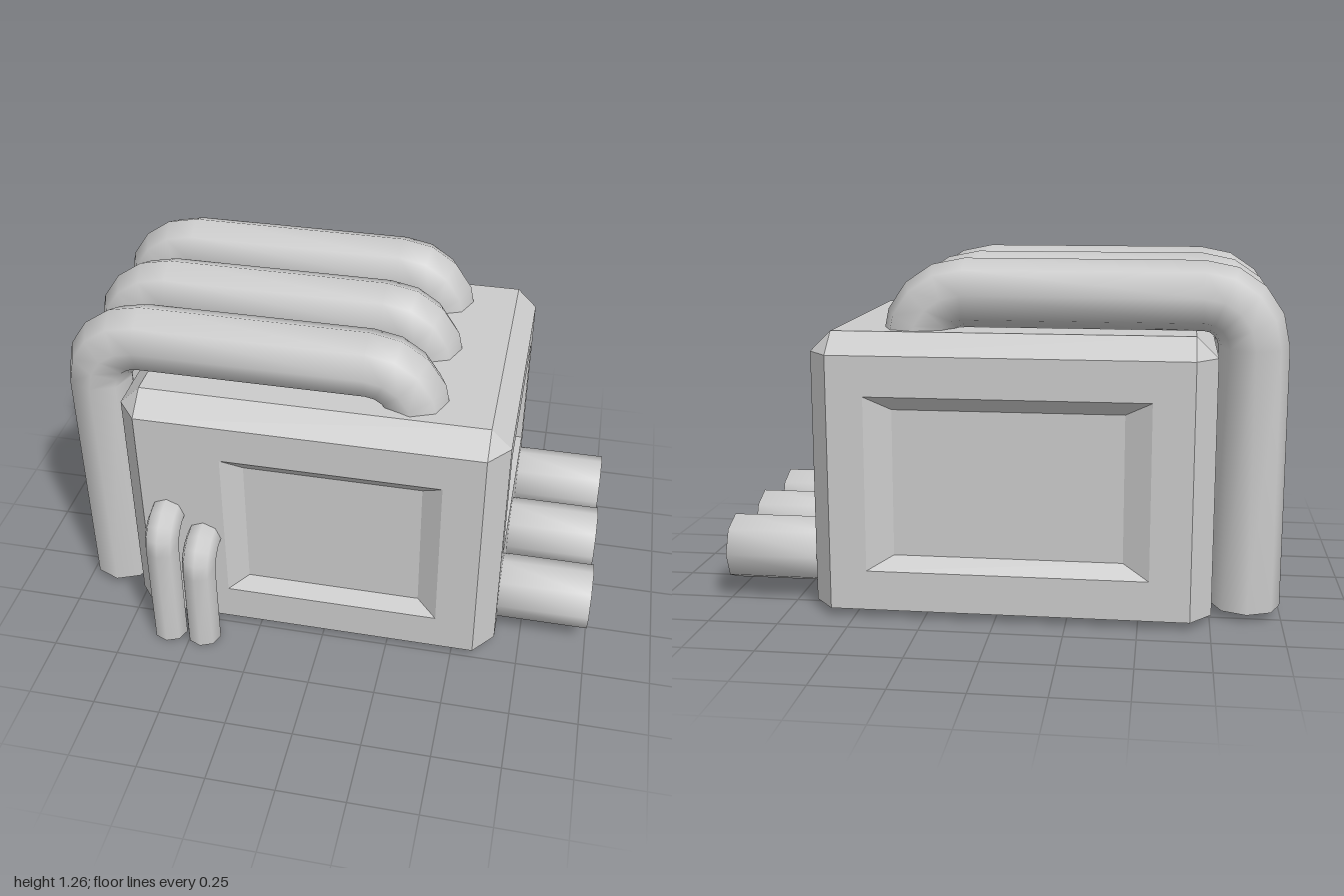
import * as THREE from 'three';
import { mergeVertices } from 'three/addons/utils/BufferGeometryUtils.js';

const material = new THREE.MeshStandardMaterial({ color: 0xcccccc });
const openMaterial = new THREE.MeshStandardMaterial({ color: 0xcccccc, side: THREE.DoubleSide });

// Chamfered box; each wall may carry a shallow recessed panel
function bodyGeometry() {
  const y0 = 0.03, y1 = 0.937, y2 = 1.01;
  const ring = [[-0.68, 0.496], [0.582, 0.496], [0.656, 0.405], [0.656, -0.56],
    [0.582, -0.65], [-0.68, -0.65], [-0.755, -0.56], [-0.755, 0.405]];
  const topCorners = [[-0.68, 0.405], [0.582, 0.405], [0.582, -0.56], [-0.68, -0.56]];
  const topOf = (i) => topCorners[((i + 1) >> 1) % 4];
  // Panels in wall order: opening along the wall, opening in height, bevel width, bevel height
  const panels = [
    { u: [0.31, 1.115], v: [0.172, 0.795], bu: 0.075, bv: 0.05 },
    { u: [0.096, 0.867], v: [0.355, 0.83], bu: 0.064, bv: 0.042 },
    { u: [0.13, 1.12], v: [0.172, 0.795], bu: 0.092, bv: 0.05 },
    null,
  ];
  const depth = 0.042;
  const positions = [];
  const tri = (a, b, c) => positions.push(...a, ...b, ...c);
  const quad = (a, b, c, d) => { tri(a, b, c); tri(a, c, d); };
  const at = (p, y) => [p[0], y, p[1]];

  ring.forEach((p, i) => {
    const j = (i + 1) % 8, q = ring[j];
    const panel = i % 2 === 0 ? panels[i / 2] : null;
    if (panel) {
      // Nested rectangles: wall edge, opening, recessed floor
      const length = Math.hypot(q[0] - p[0], q[1] - p[1]);
      const dx = (q[0] - p[0]) / length, dz = (q[1] - p[1]) / length;
      const rect = (u0, u1, v0, v1, d) => [[u0, v0], [u1, v0], [u1, v1], [u0, v1]]
        .map(([u, v]) => [p[0] + dx * u + dz * d, v, p[1] + dz * u - dx * d]);
      const { u, v, bu, bv } = panel;
      const loops = [
        rect(0, length, y0, y1, 0),
        rect(u[0], u[1], v[0], v[1], 0),
        rect(u[0] + bu, u[1] - bu, v[0] + bv, v[1] - bv, depth),
      ];
      for (let k = 0; k < 2; k++) {
        for (let s = 0; s < 4; s++) {
          const n = (s + 1) % 4;
          quad(loops[k][s], loops[k][n], loops[k + 1][n], loops[k + 1][s]);
        }
      }
      quad(...loops[2]);
    } else {
      quad(at(p, y0), at(q, y0), at(q, y1), at(p, y1));
    }
    // Sloped top edge, a single triangle at the corners
    tri(at(p, y1), at(q, y1), at(topOf(j), y2));
    if (i % 2 === 0) tri(at(p, y1), at(topOf(j), y2), at(topOf(i), y2));
    // Underside
    tri([-0.05, y0, -0.08], at(q, y0), at(p, y0));
  });
  quad(...topCorners.map((p) => at(p, y2)));

  const geometry = new THREE.BufferGeometry();
  geometry.setAttribute('position', new THREE.Float32BufferAttribute(positions, 3));
  geometry.computeVertexNormals();
  return geometry;
}

// Eight-sided outlet whose normals run smoothly over the rim
function outletGeometry() {
  const cylinder = new THREE.CylinderGeometry(0.122, 0.122, 0.37, 8);
  cylinder.deleteAttribute('normal');
  cylinder.deleteAttribute('uv');
  const geometry = mergeVertices(cylinder);
  geometry.computeVertexNormals();
  return geometry;
}

// Centre line with straight runs and rounded bends at the inner points
function bentPath(points, radius) {
  const path = new THREE.CurvePath();
  let from = points[0];
  for (let i = 1; i < points.length - 1; i++) {
    const corner = points[i];
    const a = corner.clone().add(points[i - 1].clone().sub(corner).setLength(radius));
    const b = corner.clone().add(points[i + 1].clone().sub(corner).setLength(radius));
    const mix = (e) => e.clone().lerp(corner, 0.5523);
    path.add(new THREE.LineCurve3(from, a));
    path.add(new THREE.CubicBezierCurve3(a, mix(a), mix(b), b));
    from = b;
  }
  path.add(new THREE.LineCurve3(from, points[points.length - 1]));
  return path;
}

// Eight-sided open tube with rings only where the path bends
function pipe(name, points, bend, radius) {
  const path = bentPath(points, bend);
  const stops = [];
  path.curves.forEach((curve, i) => {
    const steps = i % 2 ? 4 : 1;
    for (let s = stops.length ? 1 : 0; s <= steps; s++) {
      stops.push([curve.getPoint(s / steps), curve.getTangent(s / steps)]);
    }
  });
  // All paths are planar, so one side vector serves every ring
  const first = stops[0][1];
  const side = first.clone().cross(points[2].clone().sub(points[1])).normalize();
  const positions = [], index = [];
  stops.forEach(([centre, tangent], r) => {
    const across = tangent.clone().cross(side);
    for (let k = 0; k < 8; k++) {
      const angle = (k / 8) * Math.PI * 2;
      const v = centre.clone()
        .addScaledVector(side, Math.cos(angle) * radius)
        .addScaledVector(across, -Math.sin(angle) * radius);
      positions.push(v.x, v.y, v.z);
      if (r > 0) {
        const n = (k + 1) % 8, a = (r - 1) * 8, b = r * 8;
        index.push(a + k, b + k, a + n, a + n, b + k, b + n);
      }
    }
  });
  const geometry = new THREE.BufferGeometry();
  geometry.setAttribute('position', new THREE.Float32BufferAttribute(positions, 3));
  geometry.setIndex(index);
  geometry.computeVertexNormals();
  const mesh = new THREE.Mesh(geometry, openMaterial);
  mesh.name = name;
  return mesh;
}

export function createModel() {
  const model = new THREE.Group();
  model.name = 'pipedMachine';
  const vec = (x, y, z) => new THREE.Vector3(x, y, z);

  const body = new THREE.Mesh(bodyGeometry(), material);
  body.name = 'body';
  model.add(body);

  // Three large pipes over the top and three outlets on the left side
  const outletShape = outletGeometry();
  [0.266, -0.08, -0.427].forEach((z, i) => {
    model.add(pipe(`topPipe${i + 1}`, [
      vec(-0.878, 0.03, z), vec(-0.878, 1.134, z), vec(0.305, 1.134, z), vec(0.305, 0.93, z),
    ], 0.175, 0.122));

    const outlet = new THREE.Mesh(outletShape, material);
    outlet.name = `outlet${i + 1}`;
    outlet.rotation.z = -Math.PI / 2;
    outlet.position.set(0.815, 0.178, z);
    model.add(outlet);
  });

  // Two thin pipes rising from the floor into the front wall
  [[-0.585, 0.517], [-0.45, 0.426]].forEach(([x, y], i) => {
    model.add(pipe(`frontPipe${i + 1}`, [
      vec(x, 0, 0.586), vec(x, y, 0.586), vec(x, y, 0.44),
    ], 0.09, 0.065));
  });

  return model;
}
